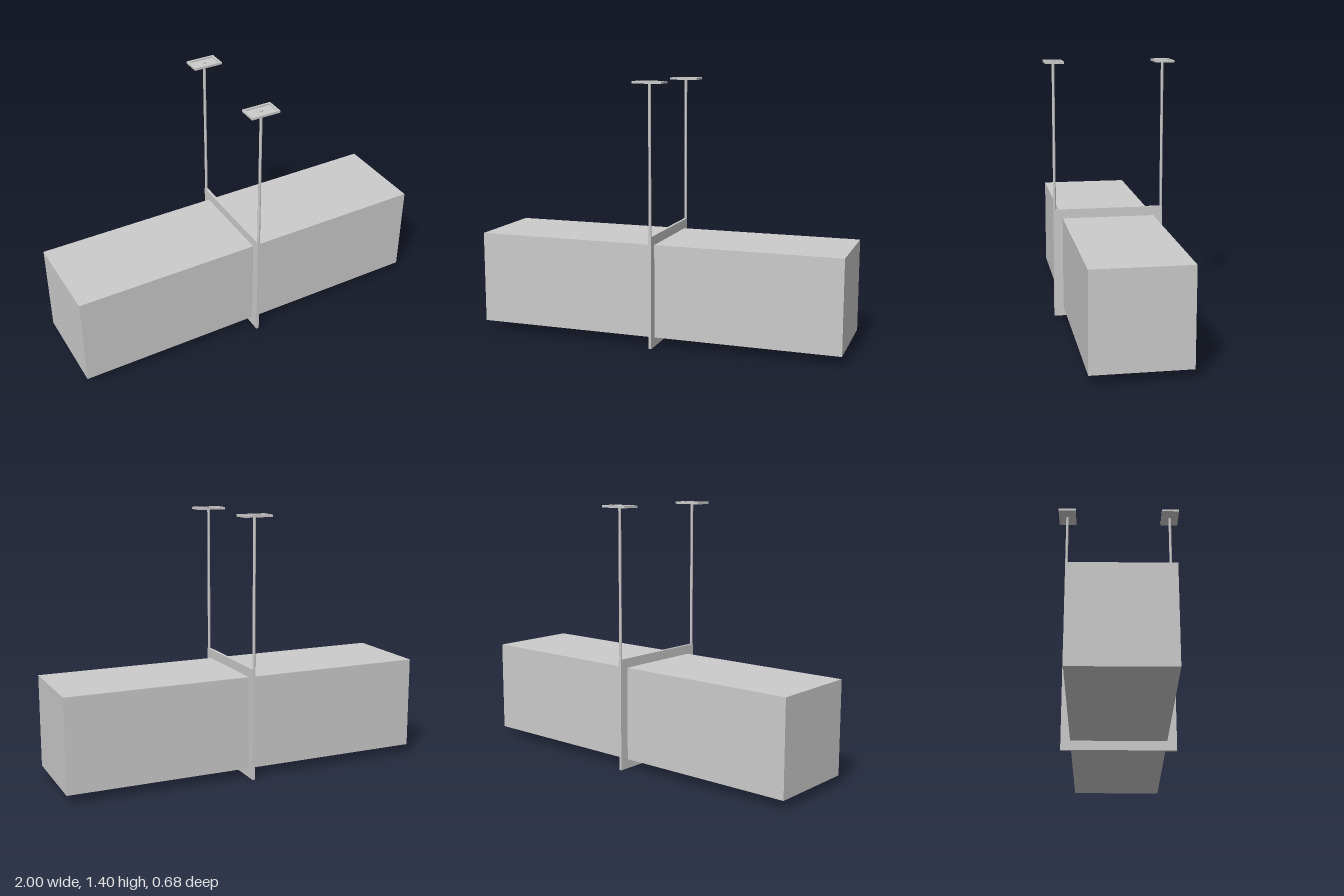
import * as THREE from 'three';

const material = new THREE.MeshStandardMaterial({ color: 0xcccccc });

function add(parent, name, geometry, x = 0, y = 0, z = 0) {
  const mesh = new THREE.Mesh(geometry, material);
  mesh.name = name;
  mesh.position.set(x, y, z);
  parent.add(mesh);
  return mesh;
}

// Rectangular outline centred on the origin
function rectangle(Type, w, h) {
  const [a, b] = [w / 2, h / 2];
  return new Type([[-a, -b], [a, -b], [a, b], [-a, b]].map(([x, y]) => new THREE.Vector2(x, y)));
}

// Flat rectangular ring, extruded along z and centred on its depth
function ring(w, h, holeW, holeH, depth) {
  const shape = rectangle(THREE.Shape, w, h);
  shape.holes.push(rectangle(THREE.Path, holeW, holeH));
  return new THREE.ExtrudeGeometry(shape, { depth, bevelEnabled: false }).translate(0, 0, -depth / 2);
}

export function createModel() {
  const model = new THREE.Group();
  model.name = 'suspendedDuct';

  // Long square duct
  add(model, 'duct', new THREE.BoxGeometry(2, 0.5, 0.5), 0, 0.3, 0);

  // Square frame around the middle of the duct
  add(model, 'supportFrame', ring(0.6, 0.6, 0.498, 0.498, 0.015).rotateY(Math.PI / 2), 0, 0.3, 0);

  // Hanger on each side: rod and shallow ceiling tray
  for (const side of [1, -1]) {
    const hanger = new THREE.Group();
    hanger.name = side > 0 ? 'frontHanger' : 'backHanger';
    hanger.position.z = side * 0.2925;
    add(hanger, 'rod', new THREE.CylinderGeometry(0.0075, 0.0075, 0.805, 12), 0, 0.9975, 0);
    add(hanger, 'trayFloor', new THREE.BoxGeometry(0.157, 0.004, 0.097), 0, 1.39, 0);
    add(hanger, 'trayRim', ring(0.157, 0.097, 0.135, 0.075, 0.008).rotateX(-Math.PI / 2), 0, 1.396, 0);
    model.add(hanger);
  }
  return model;
}
